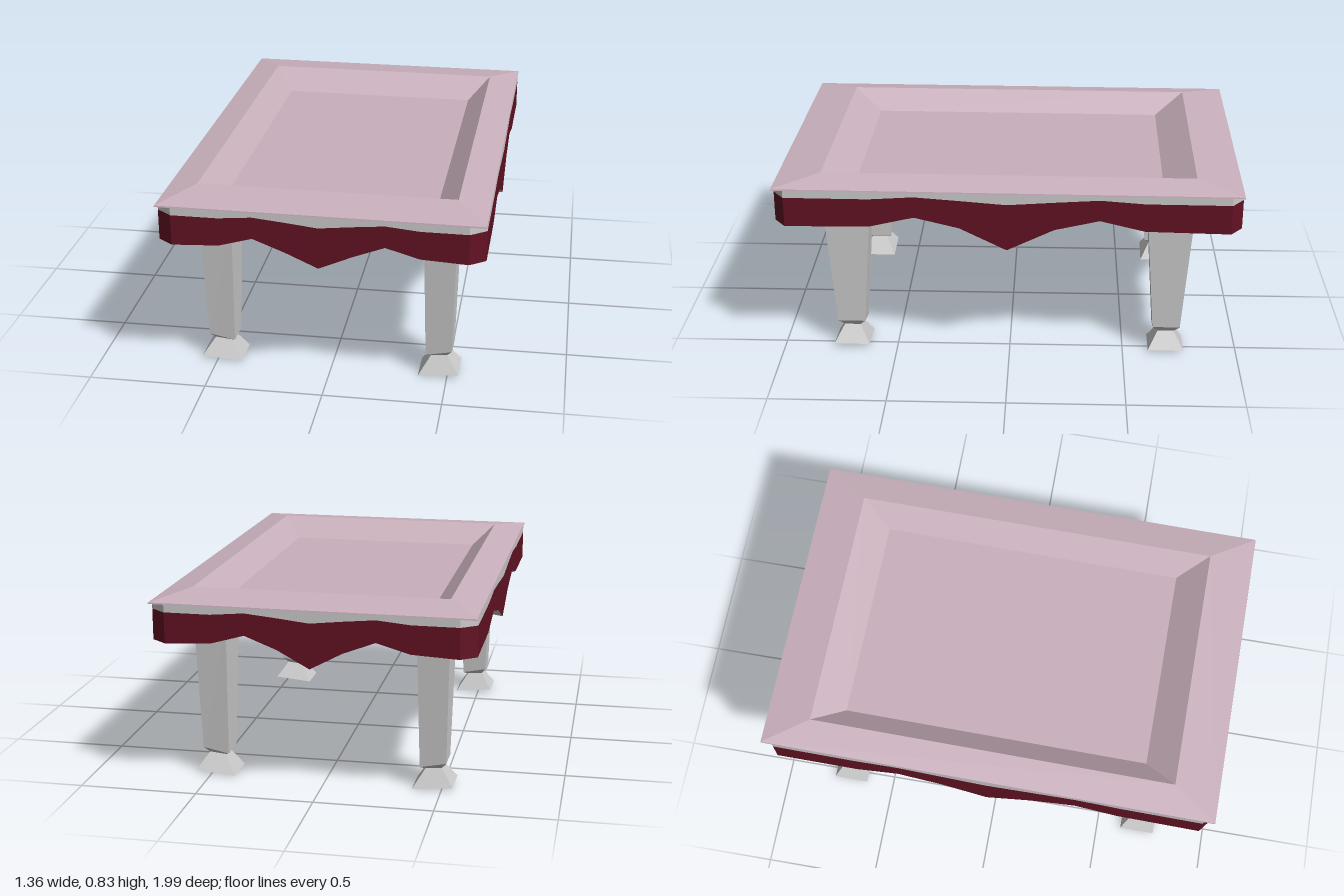
import * as THREE from 'three';

const V = (x, y, z) => new THREE.Vector3(x, y, z);
const grey = new THREE.MeshStandardMaterial({ color: 0xcccccc, flatShading: true });
const red = new THREE.MeshStandardMaterial({ color: 0x631223, flatShading: true });
const mauve = new THREE.MeshStandardMaterial({ color: 0xc9b0bc, flatShading: true });

// Flat-shaded skin over rings of points, each ring running front, +x, back, -x.
function loft(name, rings, material) {
  const pos = [];
  const tri = (...pts) => pts.forEach((p) => pos.push(p.x, p.y, p.z));
  for (let r = 0; r + 1 < rings.length; r++) {
    const a = rings[r], b = rings[r + 1], n = a.length;
    for (let i = 0; i < n; i++) {
      const j = (i + 1) % n;
      if (a[i].distanceTo(a[j]) > 1e-6) tri(a[i], a[j], b[j]);
      if (b[i].distanceTo(b[j]) > 1e-6) tri(a[i], b[j], b[i]);
    }
  }
  const geo = new THREE.BufferGeometry();
  geo.setAttribute('position', new THREE.Float32BufferAttribute(pos, 3));
  geo.computeVertexNormals();
  const mesh = new THREE.Mesh(geo, material);
  mesh.name = name;
  return mesh;
}

const rect = (hx, y, hz) => [V(-hx, y, hz), V(hx, y, hz), V(hx, y, -hz), V(-hx, y, -hz)];

// Apron wave: distance from the middle of a side, lower edge, band edge.
const HX = 0.67, HZ = 0.988;
const endWave = [[0.605, 0.64, 0.77], [0.41, 0.65, 0.77], [0.27, 0.69, 0.783], [0.135, 0.638, 0.77]];
const longWave = [[0.938, 0.64, 0.77], [0.58, 0.645, 0.77], [0.39, 0.69, 0.783], [0.2, 0.645, 0.77]];

function apronOutline() {
  const pts = [];
  const side = (wave, tip, place) => {
    const full = [
      ...wave.map(([d, low, band]) => [-d, low, band]),
      [0, tip, 0.755],
      ...[...wave].reverse(),
    ];
    full.forEach(([d, low, band]) => pts.push({ ...place(d), low, band }));
  };
  side(endWave, 0.578, (d) => ({ x: d, z: HZ }));
  side(longWave, 0.547, (d) => ({ x: HX, z: -d }));
  side(endWave, 0.565, (d) => ({ x: -d, z: -HZ }));
  side(longWave, 0.565, (d) => ({ x: -HX, z: d }));
  return pts;
}

// Square tapered leg on a flared foot, both leaning a little at the bottom.
function leg(sx, sz) {
  const ring = (hx, y, hz, tilt) => rect(hx, y, hz).map((p) =>
    V(p.x + sx * 0.471, p.y + tilt * p.x * sx, p.z + sz * 0.696));
  const group = new THREE.Group();
  group.name = 'leg';
  group.add(
    loft('legPost', [
      ring(0.035, 0.085, 0.035, 0.1), ring(0.056, 0.105, 0.06, 0.2),
      ring(0.068, 0.66, 0.1, 0),
    ], grey),
    loft('foot', [
      ring(0, 0.008, 0, 0), ring(0.086, 0.008, 0.078, 0.09),
      ring(0.035, 0.085, 0.035, 0.1),
    ], grey),
  );
  return group;
}

export function createModel() {
  const table = new THREE.Group();
  table.name = 'gameTable';
  const edge = apronOutline();
  const low = edge.map((p) => V(p.x, p.low, p.z));
  const band = edge.map((p) => V(p.x, p.band, p.z));
  const rim = edge.map((p) => V(p.x, 0.802, p.z));
  const clamp = THREE.MathUtils.clamp;
  const inner = edge.map((p) => V(clamp(p.x, -0.55, 0.55), 0.64, clamp(p.z, -0.8, 0.8)));

  table.add(
    loft('apron', [low, band], red),
    loft('trimBand', [band, rim], grey),
    // underside slopes from the wavy edge to a flat panel
    loft('underside', [edge.map(() => V(0, 0.64, 0)), inner, low], grey),
    // sloping rail, inner walls and sunken bed
    loft('railAndBed', [
      rect(0.55, 0.8, 0.84), rect(HX + 0.001, 0.802, HZ + 0.001), rect(HX, 0.808, HZ),
      rect(0.54, 0.835, 0.796), rect(0.445, 0.75, 0.664), rect(0, 0.75, 0),
    ], mauve),
  );
  for (const sx of [-1, 1]) for (const sz of [-1, 1]) table.add(leg(sx, sz));

  // the whole table stands slightly turned
  table.rotation.y = -0.0115;
  const model = new THREE.Group();
  model.name = 'model';
  model.add(table);
  return model;
}
